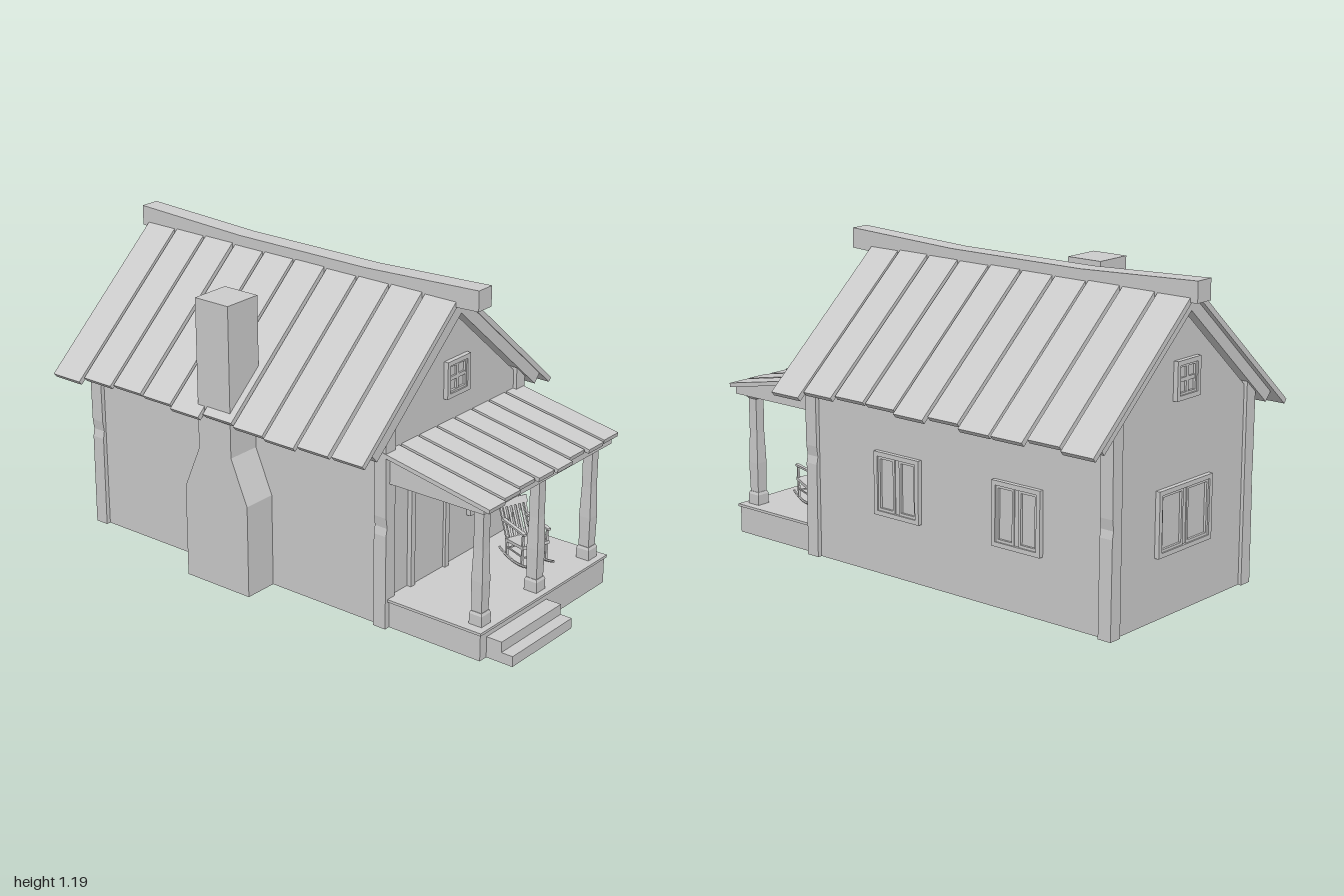
import * as THREE from 'three';

const mat = new THREE.MeshStandardMaterial({ color: 0xcccccc, flatShading: true, side: THREE.DoubleSide });
const SLOPE = 0.867, PITCH = Math.atan(SLOPE);

function add(parent, name, geo, x = 0, y = 0, z = 0) {
  const m = new THREE.Mesh(geo, mat);
  m.name = name;
  m.position.set(x, y, z);
  parent.add(m);
  return m;
}
// Box given by its minimum and maximum corners
function box(parent, name, x0, x1, y0, y1, z0, z1) {
  return add(parent, name, new THREE.BoxGeometry(x1 - x0, y1 - y0, z1 - z0), (x0 + x1) / 2, (y0 + y1) / 2, (z0 + z1) / 2);
}
function group(parent, name) {
  const g = new THREE.Group();
  g.name = name;
  parent.add(g);
  return g;
}
const shape = pts => new THREE.Shape(pts.map(p => new THREE.Vector2(...p)));
const extrude = (s, depth) => new THREE.ExtrudeGeometry(s, { depth, bevelEnabled: false });
// Profile drawn in (z, y), extruded along x from x0 to x1
function sideExtrude(parent, name, pts, x0, x1) {
  const m = add(parent, name, extrude(shape(pts.map(([z, y]) => [-z, y])), x1 - x0), x0);
  m.rotation.y = Math.PI / 2;
  return m;
}
// Straight bar between two points
function bar(parent, name, a, b, w, d = w) {
  const p = new THREE.Vector3(...a), q = new THREE.Vector3(...b);
  const m = add(parent, name, new THREE.BoxGeometry(w, p.distanceTo(q), d));
  m.position.copy(p).add(q).multiplyScalar(0.5);
  m.quaternion.setFromUnitVectors(new THREE.Vector3(0, 1, 0), q.sub(p).normalize());
  return m;
}
// Rectangular ring centred on the origin, from z = 0 outward
function ring(w, h, t, depth) {
  const rect = (a, b) => [[-a, -b], [a, -b], [a, b], [-a, b]];
  const s = shape(rect(w / 2, h / 2));
  s.holes.push(shape(rect(w / 2 - t, h / 2 - t)));
  return extrude(s, depth);
}
// Window facing +z: cross bars, or two sashes side by side
function windowUnit(parent, name, w, h, sashes) {
  const g = group(parent, name), t = 0.017, iw = w - 2 * t, ih = h - 2 * t;
  add(g, 'windowFrame', ring(w, h, t, 0.018));
  box(g, 'windowPane', -iw / 2, iw / 2, -ih / 2, ih / 2, -0.005, 0.003);
  if (sashes) {
    for (const s of [-1, 1]) add(g, 'sash', ring(iw / 2 - 0.01, ih, 0.01, 0.012), s * (iw / 4 + 0.005));
    box(g, 'mullion', -0.01, 0.01, -ih / 2, ih / 2, 0, 0.008);
  } else {
    add(g, 'sash', ring(iw, ih, 0.008, 0.012));
    box(g, 'verticalBar', -0.007, 0.007, -ih / 2, ih / 2, 0, 0.01);
    box(g, 'crossBar', -iw / 2, iw / 2, -0.007, 0.007, 0, 0.01);
  }
  return g;
}

function buildHouse(root) {
  const g = group(root, 'house');
  const eave = 1.06 - SLOPE * 0.395;
  add(g, 'walls', extrude(shape([[-0.395, 0], [0.395, 0], [0.395, eave], [0, 1.06], [-0.395, eave]]), 1.41), 0, 0, -0.93);
  // Corner posts with tops cut to the roof pitch
  for (const s of [-1, 1]) for (const z of [-0.943, 0.44]) {
    const pts = [[0.36, 0], [0.413, 0], [0.411, 0.36], [0.405, 0.39], [0.411, 0.43], [0.413, 1.072 - SLOPE * 0.413], [0.36, 1.072 - SLOPE * 0.36]];
    add(g, 'cornerPost', extrude(shape(pts.map(([x, y]) => [s * x, y])), 0.054), 0, 0, z);
  }
  // Door
  box(g, 'door', -0.247, -0.068, 0.113, 0.47, 0.475, 0.487);
  const s = shape([[-0.27, 0.113], [-0.247, 0.113], [-0.247, 0.47], [-0.068, 0.47], [-0.068, 0.113], [-0.045, 0.113], [-0.045, 0.49], [-0.27, 0.49]]);
  add(g, 'doorFrame', extrude(s, 0.018), 0, 0, 0.48);
  // Windows
  windowUnit(g, 'frontWindow', 0.155, 0.21, false).position.set(0.162, 0.367, 0.48);
  windowUnit(g, 'frontGableWindow', 0.135, 0.14, false).position.set(-0.002, 0.838, 0.48);
  const backWindows = [windowUnit(g, 'backWindow', 0.31, 0.24, true), windowUnit(g, 'backGableWindow', 0.135, 0.14, false)];
  backWindows.forEach((w, i) => {
    w.position.set(0, i ? 0.838 : 0.35, -0.93);
    w.rotation.y = Math.PI;
  });
  for (const z of [0.037, -0.524]) {
    const w = windowUnit(g, 'sideWindow', 0.218, 0.24, true);
    w.position.set(0.395, 0.35, z);
    w.rotation.y = Math.PI / 2;
  }
}

function buildRoof(root) {
  const g = group(root, 'roof');
  const reach = [[0.575, 0.555], [0.56, 0.545], [0.555, 0.56], [0.555, 0.557], [0.567, 0.545],
    [0.555, 0.56], [0.56, 0.545], [0.567, 0.545], [0.56, 0.556], [0.555, 0.574]];
  const dx = Math.sin(PITCH), dy = Math.cos(PITCH);
  for (const s of [-1, 1]) {
    // Under-deck
    const deck = [[0, 1.074], [0.471, 0.666], [0.471 + 0.044 * dx, 0.666 + 0.044 * dy], [0, 1.132]];
    add(g, 'roofDeck', extrude(shape(deck.map(([x, y]) => [s * x, y])), 1.45), 0, 0, -0.95);
    // Roof boards of uneven length
    reach.forEach((r, i) => {
      const end = r[s < 0 ? 0 : 1], lift = i % 3 * 0.002;
      const y = x => 1.132 + lift - SLOPE * x;
      const pts = [[0, y(0)], [end - 0.02 * dx, y(end - 0.02 * dx)], [end, y(end - 0.02 * dx) + 0.02 * dy], [0, y(0) + 0.0265]];
      add(g, 'roofBoard', extrude(shape(pts.map(([x, v]) => [s * x, v])), 0.136), 0, 0, -0.97 + i * 0.1486);
    });
  }
  // Sagging ridge beam
  sideExtrude(g, 'ridgeBeam', [[0.6, 1.187], [0.1, 1.166], [-0.5, 1.166], [-1, 1.187], [-1, 1.11], [-0.5, 1.089], [0.1, 1.089], [0.6, 1.11]], -0.038, 0.038);
}

function buildChimney(root) {
  const c = -0.195;
  const half = [[0.15, 0], [0.15, 0.36], [0.077, 0.53], [0.077, 1.105]];
  const pts = [...half.map(([z, y]) => [c + z, y]), ...half.map(([z, y]) => [c - z, y]).reverse()];
  sideExtrude(root, 'chimney', pts, -0.53, -0.373);
}

function buildPorch(root) {
  const g = group(root, 'porch');
  box(g, 'porchBase', -0.39, 0.385, 0, 0.103, 0.47, 0.89);
  box(g, 'porchFloor', -0.4, 0.39, 0.103, 0.113, 0.47, 0.898);
  box(g, 'lowerStep', -0.352, 0.01, 0, 0.04, 0.88, 1);
  box(g, 'upperStep', -0.352, 0.01, 0.04, 0.08, 0.88, 0.953);
  // Square posts with a base, tapered shaft and cap
  const R = Math.SQRT1_2;
  const profile = [[0, 0.113], [0.054, 0.113], [0.054, 0.153], [0.046, 0.163], [0.042, 0.163], [0.047, 0.28], [0.039, 0.4],
    [0.04, 0.535], [0.054, 0.543], [0.054, 0.557], [0, 0.557]].map(([w, y]) => new THREE.Vector2(w * R, y));
  for (const x of [-0.335, -0.004, 0.33]) add(g, 'porchPost', new THREE.LatheGeometry(profile, 4, Math.PI / 4), x, 0, 0.847);
  // Roof support and sloping boards
  sideExtrude(g, 'porchRoofFrame', [[0.47, 0.556], [0.893, 0.556], [0.893, 0.584], [0.47, 0.662]], -0.392, 0.392);
  const ends = [0.93, 0.918, 0.905, 0.914, 0.92, 0.9, 0.912, 0.906];
  ends.forEach((z, i) => {
    const x = -0.415 + i * 0.1045, y = v => 0.669 - 0.186 * (v - 0.48);
    sideExtrude(g, 'porchRoofBoard', [[0.47, y(0.47) - 0.008], [z, y(z) - 0.008], [z + 0.003, y(z) + 0.008], [0.47, y(0.47) + 0.008]], x, x + 0.092);
  });
}

function buildRockingChair(root) {
  const g = group(root, 'rockingChair');
  g.position.set(0.168, 0.113, 0.692);
  g.rotation.y = -0.38;
  for (const s of [-1, 1]) {
    const x = s * 0.052;
    const curve = new THREE.QuadraticBezierCurve3(new THREE.Vector3(x, 0.024, -0.1), new THREE.Vector3(x, -0.012, 0), new THREE.Vector3(x, 0.024, 0.1));
    add(g, 'rocker', new THREE.TubeGeometry(curve, 10, 0.005, 6));
    bar(g, 'frontLeg', [x, 0.01, 0.05], [x, 0.135, 0.054], 0.008);
    bar(g, 'backLeg', [x, 0.01, -0.05], [x, 0.085, -0.05], 0.008);
    bar(g, 'armrest', [x, 0.138, 0.066], [x, 0.145, -0.078], 0.014, 0.008);
    bar(g, 'backPost', [x, 0.07, -0.046], [x, 0.205, -0.11], 0.009);
    bar(g, 'sideRung', [x, 0.045, 0.05], [x, 0.045, -0.05], 0.005);
  }
  for (const z of [-0.05, 0.05]) bar(g, 'crossRung', [-0.052, 0.04, z], [0.052, 0.04, z], 0.005);
  const seat = box(g, 'seat', -0.058, 0.058, 0.073, 0.085, -0.055, 0.062);
  seat.rotation.x = -0.1;
  for (let i = -2; i <= 2; i++) bar(g, 'backSlat', [i * 0.0185, 0.08, -0.05], [i * 0.0185, 0.19, -0.103], 0.01, 0.004);
  const rail = add(g, 'topRail', new THREE.BoxGeometry(0.128, 0.028, 0.01), 0, 0.193, -0.105);
  rail.rotation.x = -0.44;
}

export function createModel() {
  const root = new THREE.Group();
  root.name = 'cabin';
  buildHouse(root);
  buildRoof(root);
  buildChimney(root);
  buildPorch(root);
  buildRockingChair(root);
  return root;
}
